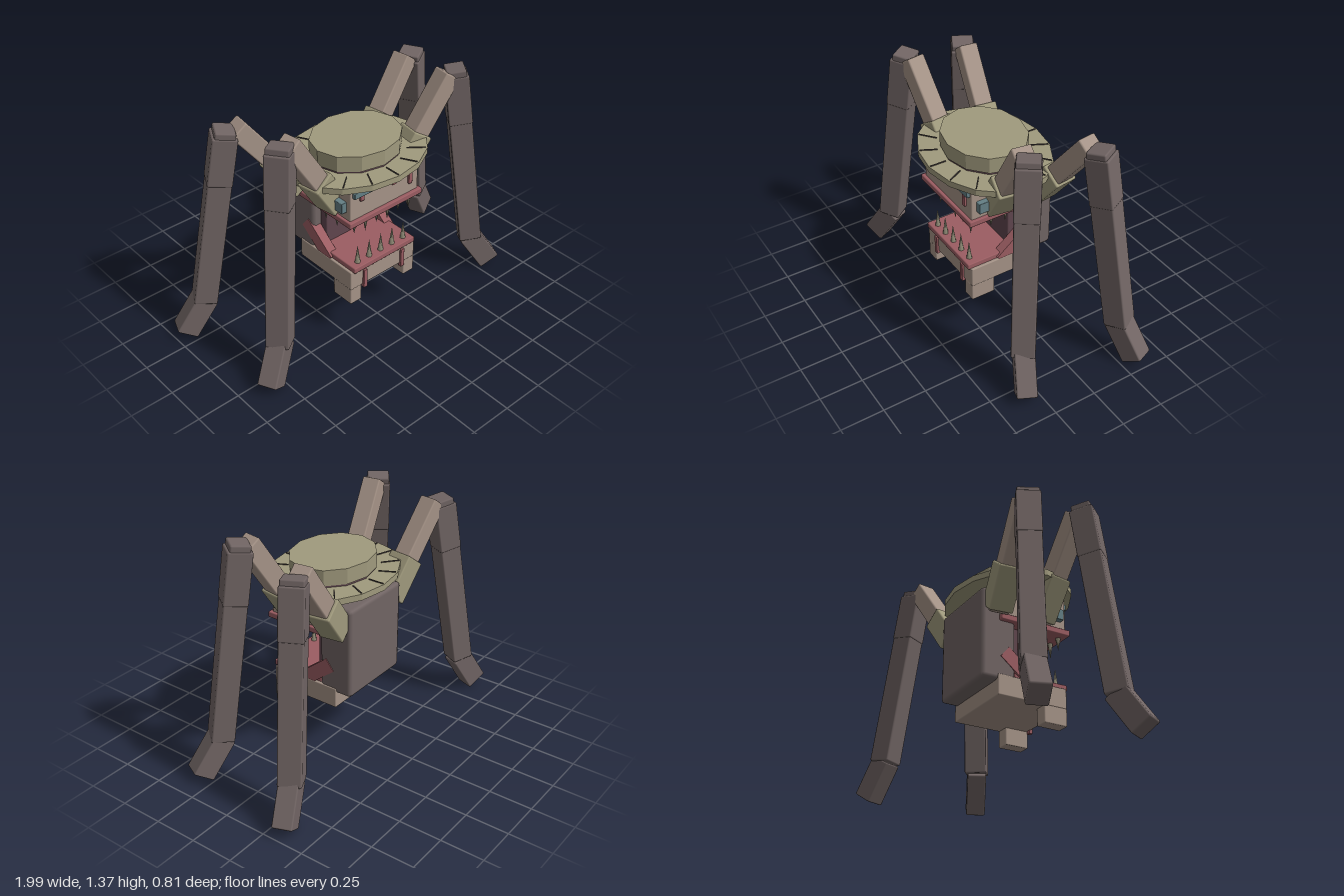
import * as THREE from 'three';
import { RoundedBoxGeometry } from 'three/addons/geometries/RoundedBoxGeometry.js';

const mat = (name, color) => {
  const m = new THREE.MeshStandardMaterial({ color });
  m.name = name;
  return m;
};

export function createModel() {
  const root = new THREE.Group();
  root.name = 'creature';

  const shell = mat('dark brown', 0x716564);
  const hide = mat('taupe', 0xa59387);
  const olive = mat('olive', 0xa09a7d);
  const gum = mat('dusty red', 0x9b5d62);
  const throat = mat('maroon', 0x60464e);
  const teal = mat('teal', 0x647f85);
  const bone = mat('bone', 0x928d78);
  const groove = mat('groove dark', 0x47413d);

  const add = (name, geo, material, x = 0, y = 0, z = 0, parent = root) => {
    const m = new THREE.Mesh(geo, material);
    m.name = name;
    m.position.set(x, y, z);
    parent.add(m);
    return m;
  };

  // Chamfered box given by its extents
  const block = (name, material, [x0, x1], [y0, y1], [z0, z1], bevel = 0.006) =>
    add(name, new RoundedBoxGeometry(x1 - x0, y1 - y0, z1 - z0, 1, bevel), material,
      (x0 + x1) / 2, (y0 + y1) / 2, (z0 + z1) / 2);

  // Chamfered beam from a to b: w is the sideways width, d the depth
  const up = new THREE.Vector3(0, 1, 0);
  const beam = (name, material, a, b, w, d, parent) => {
    const dir = b.clone().sub(a);
    const len = dir.length();
    dir.normalize();
    const side = dir.clone().cross(up).normalize();
    const m = add(name, new RoundedBoxGeometry(w, len, d, 1, 0.009), material, 0, 0, 0, parent);
    m.position.copy(a).add(b).multiplyScalar(0.5);
    m.quaternion.setFromRotationMatrix(
      new THREE.Matrix4().makeBasis(side, dir, side.clone().cross(dir)));
  };

  // Oval hat: brim, band, crown and radial grooves
  const hat = new THREE.Group();
  hat.name = 'hat';
  hat.position.z = 0.057;
  root.add(hat);
  const disc = (name, material, rx, rz, y0, y1, n) => {
    const geo = new THREE.CylinderGeometry(1, 1, y1 - y0, n).scale(rx, 1, rz).toNonIndexed();
    geo.computeVertexNormals();
    add(name, geo, material, 0, (y0 + y1) / 2, 0, hat);
  };
  disc('brim', olive, 0.43, 0.34, 1.0, 1.036, 16);
  disc('hatBand', throat, 0.262, 0.221, 1.03, 1.052, 12);
  disc('crown', olive, 0.268, 0.227, 1.048, 1.138, 12);
  for (let i = 0; i < 16; i++) {
    const a = (i / 16) * Math.PI * 2;
    const dx = Math.sin(a) * 0.43, dz = Math.cos(a) * 0.34;
    const g = add('brimGroove', new THREE.BoxGeometry(0.006, 0.006, 0.27 * Math.hypot(dx, dz)), groove,
      dx * 0.84, 1.038, dz * 0.84, hat);
    g.rotation.y = Math.atan2(dx, dz);
  }

  // Head, back shell and throat
  block('upperHead', hide, [-0.245, 0.245], [0.79, 1.0], [-0.13, 0.29]);
  block('backShell', shell, [-0.234, 0.234], [0.42, 0.95], [-0.235, -0.03], 0.022);
  block('throatWall', throat, [-0.18, 0.18], [0.46, 0.79], [-0.04, 0.02]);
  block('upperLip', gum, [-0.262, 0.262], [0.765, 0.8], [-0.13, 0.31]);

  // Lower jaw with its lip
  block('lowerJaw', hide, [-0.24, 0.24], [0.33, 0.45], [-0.14, 0.29]);
  block('lowerLip', gum, [-0.225, 0.225], [0.445, 0.48], [-0.03, 0.305]);

  // Brow bar and drips
  block('browBar', teal, [-0.23, 0.23], [0.94, 0.975], [0.28, 0.31], 0.004);
  const drips = [[-0.17, 0.905, 0.945], [0.06, 0.905, 0.945], [0.18, 0.86, 0.935], [-0.07, 0.975, 1.0],
    [-0.14, 0.31, 0.43], [0.14, 0.31, 0.43]];
  for (const [x, y0, y1] of drips)
    block('drip', gum, [x - 0.013, x + 0.013], [y0, y1], [0.28, 0.302], 0.003);

  // Teeth
  const tooth = (x, z, upper, h) => {
    const t = add(upper ? 'upperTooth' : 'lowerTooth', new THREE.ConeGeometry(0.017, h, 6), bone,
      x, upper ? 0.768 - h / 2 : 0.478 + h / 2, z);
    if (upper) t.rotation.x = Math.PI;
  };
  for (let i = 0; i < 6; i++) tooth(-0.2 + i * 0.08, 0.27, true, i % 2 ? 0.095 : 0.075);
  for (let i = 0; i < 5; i++) tooth(-0.17 + i * 0.085, 0.265, false, 0.115);

  // Leg joints: hip, knee, top and ankle of the shin, toe
  const legs = [
    { name: 'frontLeg', hip: [0.22, 0.825, 0.125], knee: [0.56, 1.352, 0.178],
      top: [0.603, 1.372, 0.185], ankle: [0.725, 0.235, 0.275], toe: [0.843, 0.036, 0.333] },
    { name: 'backLeg', hip: [0.23, 0.815, -0.145], knee: [0.6, 1.3, -0.195],
      top: [0.652, 1.308, -0.207], ankle: [0.815, 0.235, -0.293], toe: [0.931, 0.036, -0.338] },
  ];

  for (const s of [-1, 1]) {
    // Paired parts on the jaws
    const x = (a, b) => (s > 0 ? [a, b] : [-b, -a]);
    block('chinFoot', hide, x(0.16, 0.24), [0.23, 0.335], [0.145, 0.29]);
    block('sidePlate', teal, x(0.24, 0.278), [0.845, 0.91], [0.19, 0.26], 0.004);
    const hinge = add('jawHinge', new THREE.BoxGeometry(0.055, 0.082, 0.25), gum, s * 0.2105, 0.508, 0);
    hinge.rotation.x = 0.68;
    for (const z of [0.155, 0.065]) tooth(s * 0.22, z, true, 0.08);

    // Legs
    for (const L of legs) {
      const g = new THREE.Group();
      g.name = L.name;
      root.add(g);
      const [hip, knee, top, ankle, toe] = [L.hip, L.knee, L.top, L.ankle, L.toe]
        .map(([px, py, pz]) => new THREE.Vector3(s * px, py, pz));
      const on = (a, b, t) => a.clone().lerp(b, t);
      beam('upperArm', hide, hip, knee, 0.108, 0.11, g);
      beam('hipSocket', olive, on(hip, knee, 0.02), on(hip, knee, 0.43), 0.14, 0.135, g);
      beam('kneeCap', shell, top, on(top, ankle, 0.04), 0.125, 0.11, g);
      beam('upperShin', shell, on(top, ankle, 0.03), on(top, ankle, 0.29), 0.135, 0.135, g);
      beam('lowerShin', shell, on(top, ankle, 0.28), ankle, 0.13, 0.13, g);
      beam('foot', shell, on(ankle, toe, -0.06), toe, 0.112, 0.13, g);
    }
  }
  return root;
}
